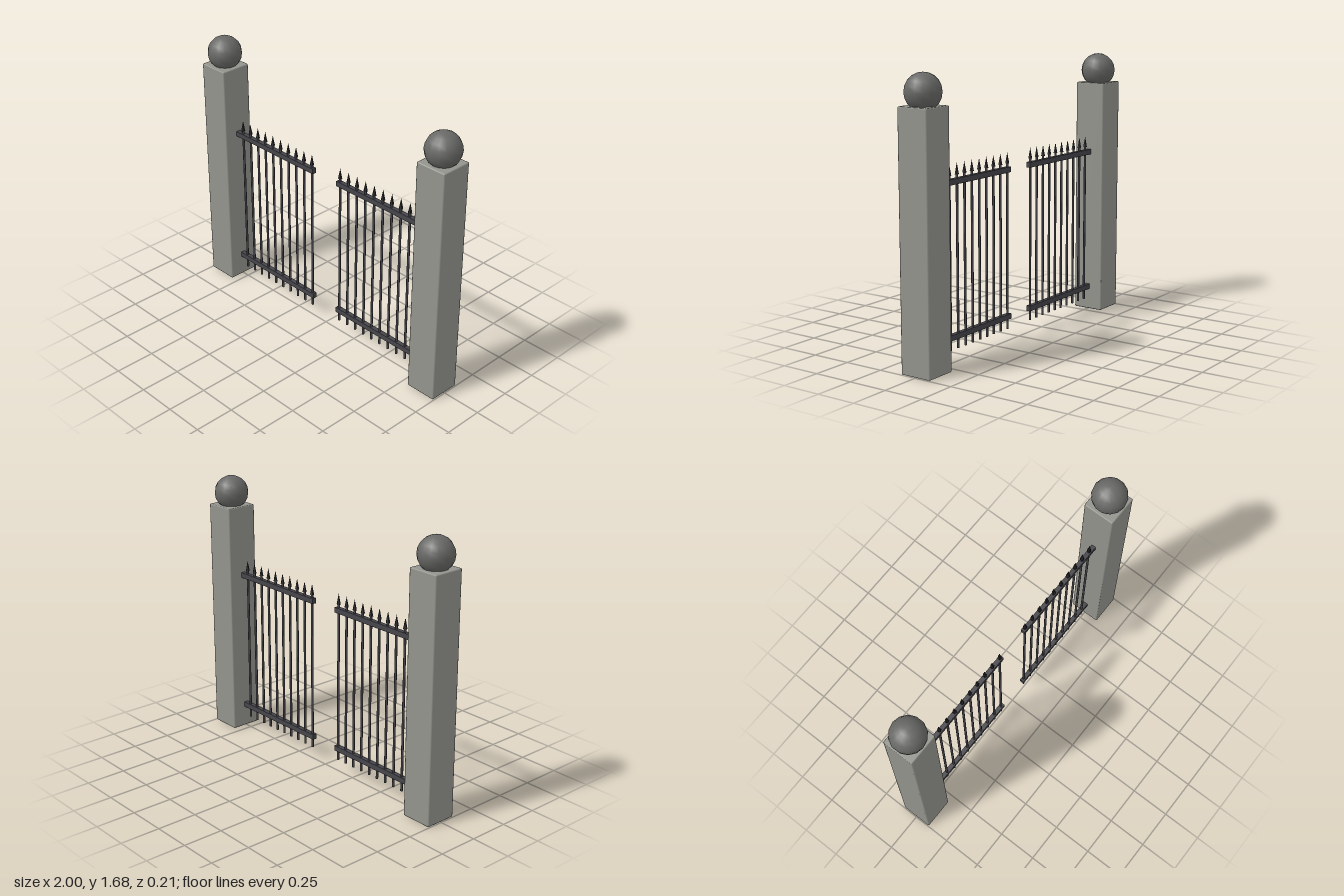
import * as THREE from 'three';
import { RoundedBoxGeometry } from 'three/addons/geometries/RoundedBoxGeometry.js';

const material = (color, flatShading = false) => {
  const m = new THREE.MeshStandardMaterial({ flatShading });
  m.color.set(color);
  return m;
};

const stone = material(0x94948e);
const darkStone = material(0x686866);
const iron = material(0x45454b);
const darkIron = material(0x2c2c30, true);

function add(parent, name, geometry, mat, x, y, z = 0) {
  const mesh = new THREE.Mesh(geometry, mat);
  mesh.name = name;
  mesh.position.set(x, y, z);
  parent.add(mesh);
  return mesh;
}

const PILLAR_X = 0.896;
const PILLAR_HEIGHT = 1.495;
const BAR_COUNT = 10;

const pillarGeometry = new RoundedBoxGeometry(0.2, PILLAR_HEIGHT, 0.2, 1, 0.007);
// Fourteen sides, turned so that corners point along z
const ballGeometry = new THREE.SphereGeometry(0.107, 14, 10).rotateY(Math.PI / 2);
const railGeometry = new THREE.BoxGeometry(0.7, 0.033, 0.028);
const barGeometry = new THREE.CylinderGeometry(0.0075, 0.0075, 1.01, 8);
const spikeGeometry = new THREE.ConeGeometry(0.013, 0.066, 6);

// Stone post with a ball finial; side is +1 or -1
function createPillar(side) {
  const pillar = new THREE.Group();
  pillar.name = side > 0 ? 'leftPillar' : 'rightPillar';
  add(pillar, 'post', pillarGeometry, stone, side * PILLAR_X, PILLAR_HEIGHT / 2);
  add(pillar, 'ballFinial', ballGeometry, darkStone, side * PILLAR_X, 1.571);
  return pillar;
}

// Gate leaf: two rails and a row of spiked bars
function createGate(side) {
  const gate = new THREE.Group();
  gate.name = side > 0 ? 'leftGate' : 'rightGate';
  add(gate, 'bottomRail', railGeometry, iron, side * 0.45, 0.152);
  add(gate, 'topRail', railGeometry, iron, side * 0.45, 1.049);
  for (let i = 0; i < BAR_COUNT; i++) {
    const x = side * (0.12 + (i * 0.626) / (BAR_COUNT - 1));
    add(gate, 'bar', barGeometry, iron, x, 0.581);
    add(gate, 'spike', spikeGeometry, darkIron, x, 1.119);
  }
  return gate;
}

export function createModel() {
  const model = new THREE.Group();
  model.name = 'gateway';
  for (const side of [-1, 1]) model.add(createPillar(side), createGate(side));
  return model;
}
